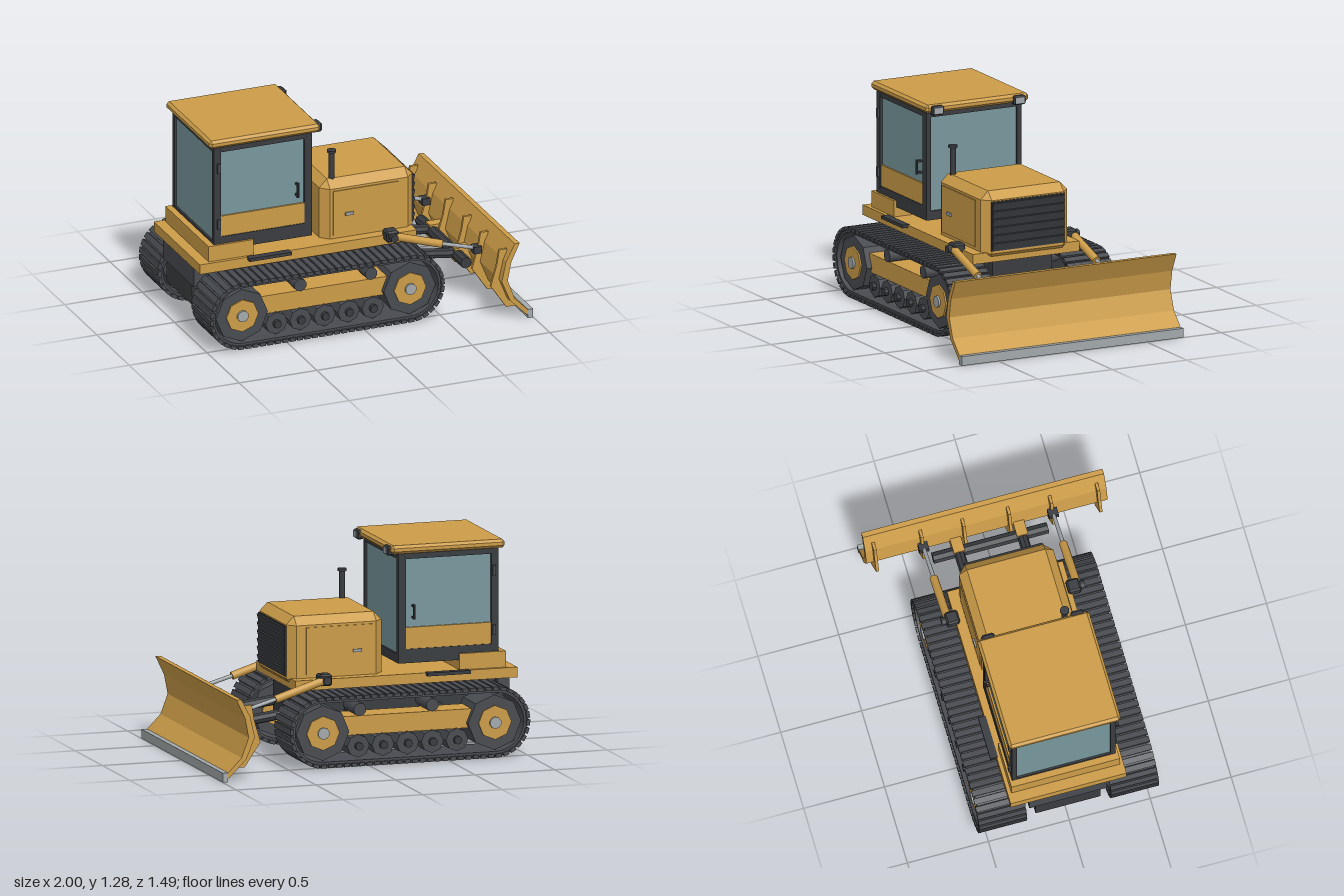
import * as THREE from 'three';
import { ConvexGeometry } from 'three/addons/geometries/ConvexGeometry.js';

const mat = (name, color) => {
  const m = new THREE.MeshStandardMaterial({ color });
  m.name = name;
  return m;
};

export function createModel() {
  const yellow = mat('yellow paint', 0xcc9c48);
  const dark = mat('dark steel', 0x484b50);
  const black = mat('black trim', 0x393c40);
  const glass = mat('window glass', 0x78979d);
  const grey = mat('bare steel', 0xa3a9ac);

  const model = new THREE.Group();
  model.name = 'bulldozer';

  const add = (name, geo, material, x = 0, y = 0, z = 0, parent = model) => {
    const m = new THREE.Mesh(geo, material);
    m.name = name;
    m.position.set(x, y, z);
    parent.add(m);
    return m;
  };
  // Box given by its limits on each axis
  const box = (name, material, [x0, x1], [y0, y1], [z0, z1], parent) =>
    add(name, new THREE.BoxGeometry(x1 - x0, y1 - y0, z1 - z0), material,
      (x0 + x1) / 2, (y0 + y1) / 2, (z0 + z1) / 2, parent);
  // Box with all edges chamfered by c
  const chamferBox = (name, material, [x0, x1], [y0, y1], [z0, z1], c, parent) => {
    const h = [(x1 - x0) / 2, (y1 - y0) / 2, (z1 - z0) / 2];
    const pts = [];
    for (let axis = 0; axis < 3; axis++)
      for (const i of [-1, 1]) for (const j of [-1, 1]) for (const k of [-1, 1])
        pts.push(new THREE.Vector3(...[i, j, k].map((s, n) => s * (h[n] - (n === axis ? 0 : c)))));
    return add(name, new ConvexGeometry(pts), material, (x0 + x1) / 2, (y0 + y1) / 2, (z0 + z1) / 2, parent);
  };
  // Cylinder between two points
  const rod = (name, material, a, b, r, sides = 12, parent = model) => {
    const p = new THREE.Vector3(...a), q = new THREE.Vector3(...b);
    const geo = new THREE.CylinderGeometry(r, r, p.distanceTo(q), sides);
    const m = add(name, sides > 8 ? geo : geo.toNonIndexed(), material, 0, 0, 0, parent);
    if (sides <= 8) m.geometry.computeVertexNormals();
    m.position.copy(p).lerp(q, 0.5);
    m.quaternion.setFromUnitVectors(new THREE.Vector3(0, 1, 0), q.sub(p).normalize());
    return m;
  };

  // Tracks
  const X0 = -0.785, X1 = 0.295, CY = 0.225, R = 0.203;
  const stadium = (shape, r) => {
    shape.absarc(X1, CY, r, -Math.PI / 2, Math.PI / 2, false);
    shape.absarc(X0, CY, r, Math.PI / 2, Math.PI * 1.5, false);
    shape.closePath();
    return shape;
  };
  const beltShape = stadium(new THREE.Shape(), R);
  beltShape.holes.push(stadium(new THREE.Path(), R - 0.025));
  const beltGeo = new THREE.ExtrudeGeometry(beltShape, { depth: 0.27, bevelEnabled: false, curveSegments: 14 });
  const shoeGeo = new THREE.BoxGeometry(0.036, 0.022, 0.295);
  const straight = X1 - X0, arc = Math.PI * R, loop = 2 * (straight + arc), SHOES = 72;
  const shoePose = (s) => {
    if (s < straight) return [X0 + s, CY + R, 0];
    s -= straight;
    if (s < arc) return [X1 + R * Math.sin(s / R), CY + R * Math.cos(s / R), -s / R];
    s -= arc;
    if (s < straight) return [X1 - s, CY - R, Math.PI];
    const a = (s - straight) / R;
    return [X0 - R * Math.sin(a), CY - R * Math.cos(a), Math.PI - a];
  };

  for (const side of [-1, 1]) {
    const track = new THREE.Group();
    track.name = side > 0 ? 'trackNear' : 'trackFar';
    model.add(track);
    const zc = side * 0.407;
    const across = (name, material, x, y, half, r, sides) =>
      rod(name, material, [x, y, zc - half], [x, y, zc + half], r, sides, track);

    add('trackBelt', beltGeo, dark, 0, 0, zc - 0.135, track);
    for (let i = 0; i < SHOES; i++) {
      const [x, y, a] = shoePose((i / SHOES) * loop);
      add('trackShoe', shoeGeo, dark, x, y, zc, track).rotation.z = a;
    }
    for (const x of [X0, X1]) {
      across('wheel', dark, x, 0.22, 0.118, 0.167, 8);
      across('wheelHub', yellow, x, 0.22, 0.128, 0.103, 8);
      across('wheelCap', grey, x, 0.22, 0.14, 0.036, 10);
    }
    for (let i = 0; i < 5; i++) {
      across('roller', dark, -0.555 + i * 0.155, 0.125, 0.1, 0.07, 8);
      across('rollerAxle', black, -0.555 + i * 0.155, 0.125, 0.125, 0.025, 8);
    }
    for (const x of [-0.4, 0.055]) across('carrierRoller', dark, x, 0.345, 0.1, 0.04, 10);
    box('trackFrame', yellow, [-0.65, 0.17], [0.19, 0.305], [zc - 0.085, zc + 0.085], track);
  }

  // Chassis and deck
  box('chassis', black, [-0.97, 0.36], [0.19, 0.45], [-0.2, 0.2]);
  box('rearHousing', dark, [-0.975, -0.9], [0.32, 0.45], [-0.24, 0.24]);
  for (const x of [-0.5, 0.0]) box('crossBeam', black, [x - 0.05, x + 0.05], [0.22, 0.3], [-0.33, 0.33]);
  box('deck', yellow, [-0.985, 0.41], [0.45, 0.512], [-0.358, 0.358]);
  box('rearBox', yellow, [-0.92, -0.63], [0.51, 0.61], [-0.335, 0.335]);

  // Cab
  const cab = new THREE.Group();
  cab.name = 'cab';
  model.add(cab);
  box('cabGlass', glass, [-0.868, -0.262], [0.61, 1.22], [-0.304, 0.304], cab);
  box('cabFloor', black, [-0.88, -0.25], [0.57, 0.625], [-0.32, 0.32], cab);
  box('cabTopFrame', black, [-0.88, -0.25], [1.2, 1.24], [-0.32, 0.32], cab);
  for (const z of [-0.305, 0.305])
    for (const x of [-0.862, -0.268])
      box('cabPillar', black, [x - 0.018, x + 0.018], [0.6, 1.22], [z - 0.015, z + 0.015], cab);
  chamferBox('roof', yellow, [-0.915, -0.2], [1.235, 1.287], [-0.345, 0.345], 0.016, cab);
  for (const s of [-1, 1]) {
    const zr = (a, b) => (s > 0 ? [a, b] : [-b, -a]);
    box('doorPanel', yellow, [-0.835, -0.285], [0.655, 0.785], zr(0.3, 0.315), cab);
    box('doorSill', black, [-0.845, -0.285], [0.62, 0.655], zr(0.3, 0.32), cab);
    for (const x of [-0.842, -0.288])
      box('doorEdge', black, [x - 0.008, x + 0.008], [0.64, 1.215], zr(0.3, 0.322), cab);
    rod('doorHandle', black, [-0.345, 0.835, s * 0.335], [-0.345, 0.925, s * 0.335], 0.009, 8, cab);
    for (const y of [0.845, 0.915]) box('handleFoot', black, [-0.352, -0.338], [y - 0.006, y + 0.006], zr(0.3, 0.335), cab);
    for (const y of [0.74, 1.1]) box('doorHinge', dark, [-0.86, -0.84], [y - 0.03, y + 0.03], zr(0.31, 0.335), cab);
    // Work lights under the roof edge
    chamferBox('lightHousing', black, [-0.225, -0.182], [1.225, 1.28], zr(0.235, 0.315), 0.008, cab);
    box('lightLens', grey, [-0.184, -0.178], [1.233, 1.272], zr(0.245, 0.305), cab);
    box('step', black, [-0.68, -0.41], [0.497, 0.517], zr(0.35, 0.397));
  }

  // Engine hood
  const hood = new THREE.Group();
  hood.name = 'engineHood';
  model.add(hood);
  chamferBox('hoodShell', yellow, [-0.17, 0.43], [0.455, 0.882], [-0.292, 0.292], 0.05, hood);
  for (const s of [-1, 1]) {
    add('sidePanel', new THREE.BoxGeometry(0.42, 0.285, 0.008), yellow, 0.11, 0.675, s * 0.294, hood);
    add('panelLatch', new THREE.BoxGeometry(0.052, 0.018, 0.016), grey, 0, 0.663, s * 0.3, hood);
  }
  box('grille', black, [0.42, 0.437], [0.522, 0.825], [-0.245, 0.245], hood);
  for (let i = 0; i < 6; i++) {
    const slat = add('grilleSlat', new THREE.BoxGeometry(0.012, 0.045, 0.48), black, 0.437, 0.55 + i * 0.049, 0, hood);
    slat.rotation.z = -0.25;
  }
  rod('exhaustPipe', black, [-0.085, 0.86, 0.23], [-0.085, 1.05, 0.23], 0.018, 12, hood);
  rod('exhaustCap', black, [-0.085, 1.045, 0.23], [-0.085, 1.06, 0.23], 0.028, 12, hood);

  // Blade: curved plate, back ribs and cutting edge
  const plate = (name, pts, depth, z) => {
    const shape = new THREE.Shape(pts.map(([x, y]) => new THREE.Vector2(x, y)));
    return add(name, new THREE.ExtrudeGeometry(shape, { depth, bevelEnabled: false }), yellow, 0, 0, z - depth / 2);
  };
  plate('blade', [[0.912, 0.497], [0.858, 0.383], [0.835, 0.265], [0.88, 0.145], [0.968, 0.055], [0.968, 0.025],
    [0.955, 0.03], [0.85, 0.135], [0.797, 0.265], [0.825, 0.39], [0.88, 0.497]], 1.49, 0);
  for (const z of [-0.69, -0.4, -0.14, 0.14, 0.4, 0.69])
    plate('bladeRib', [[0.85, 0.452], [0.8, 0.452], [0.785, 0.36], [0.745, 0.225], [0.845, 0.078],
      [0.905, 0.078], [0.86, 0.14], [0.81, 0.265], [0.835, 0.385]], 0.018, z);
  box('cuttingEdge', grey, [0.965, 0.998], [0.004, 0.06], [-0.747, 0.747]);

  // Push arms, cross tube and lift cylinders
  rod('crossTube', black, [0.73, 0.245, -0.355], [0.73, 0.245, 0.355], 0.036, 8);
  for (const s of [-1, 1]) {
    const z = s * 0.195, zl = s * 0.4;
    rod('pushArm', black, [0.3, 0.305, z], [0.73, 0.25, z], 0.032, 8);
    box('bladeLug', yellow, [0.71, 0.82], [0.205, 0.29], [z - 0.034, z + 0.034]);
    chamferBox('cylinderMount', black, [0.195, 0.275], [0.48, 0.55], s > 0 ? [0.335, 0.415] : [-0.415, -0.335], 0.01);
    rod('mountPin', black, [0.235, 0.515, s * 0.4], [0.235, 0.515, s * 0.442], 0.025, 10);
    rod('liftCylinder', yellow, [0.25, 0.512, zl], [0.55, 0.417, zl], 0.025);
    rod('liftRod', grey, [0.54, 0.42, zl], [0.78, 0.352, zl], 0.012);
    box('rodLug', black, [0.75, 0.8], [0.325, 0.37], [zl - 0.03, zl + 0.03]);
  }
  return model;
}
